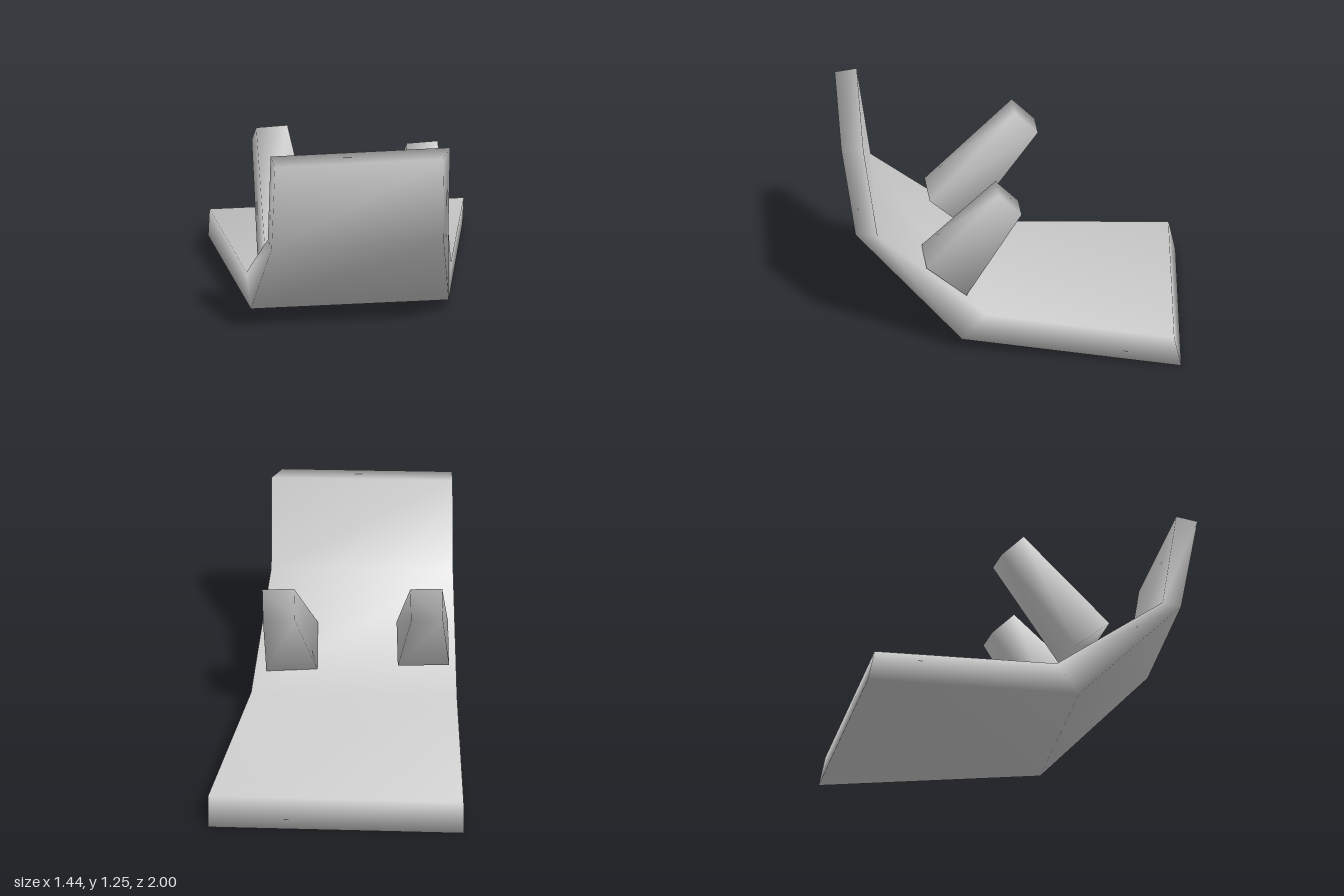
import * as THREE from 'three';

// Skin a solid through four-cornered cross-sections, with shared (smooth) vertices.
function loft(sections) {
  const index = [];
  const last = (sections.length - 1) * 4;
  for (let s = 0; s < last; s += 4) {
    for (let k = 0; k < 4; k++) {
      const a = s + k, b = s + (k + 1) % 4;
      index.push(a, a + 4, b, b, a + 4, b + 4);
    }
  }
  index.push(0, 1, 2, 0, 2, 3);
  index.push(last, last + 2, last + 1, last, last + 3, last + 2);
  const geometry = new THREE.BufferGeometry();
  geometry.setAttribute('position', new THREE.Float32BufferAttribute(sections.flat(2), 3));
  geometry.setIndex(index);
  geometry.computeVertexNormals();
  return geometry;
}

export function createModel() {
  const group = new THREE.Group();
  const grey = new THREE.MeshStandardMaterial({ color: 0xcccccc });
  grey.name = 'lightGrey';

  const add = (name, sections) => {
    const mesh = new THREE.Mesh(loft(sections), grey);
    mesh.name = name;
    group.add(mesh);
  };

  // Bent slab, from the flat back edge to the upturned front edge.
  // Each row: inner y, inner z at right and left, inner left x, then the same for the outer skin.
  const right = -0.72;
  const slab = [
    [0.18, -0.96, -0.84, 0.72, 0, -1, -0.88, 0.72],
    [0.24, 0.11, 0.2, 0.44, 0.07, 0.24, 0.33, 0.4],
    [0.7, 0.73, 0.8, 0.305, 0.69, 0.84, 0.92, 0.255],
    [1.245, 0.81, 0.88, 0.3, 1.23, 0.935, 1, 0.235],
  ];
  add('bentSlab', slab.map(([iy, izR, izL, ix, oy, ozR, ozL, ox]) => [
    [right, iy, izR], [ix, iy, izL], [ox, oy, ozL], [right, oy, ozR],
  ]));

  // Tapered pegs leaning back; each end is given by its back and front edges [x0, x1, y, z].
  const end = ([a0, a1, ay, az], [b0, b1, by, bz]) =>
    [[a0, ay, az], [a1, ay, az], [b1, by, bz], [b0, by, bz]];
  add('rightPeg', [
    end([-0.68, -0.39, 0.38, 0.23], [-0.68, -0.39, 0.55, 0.43]),
    end([-0.63, -0.45, 0.92, -0.19], [-0.63, -0.45, 1.05, -0.06]),
  ]);
  add('leftPeg', [
    end([0.06, 0.35, 0.32, 0.3], [0.05, 0.34, 0.5, 0.525]),
    end([0.2, 0.38, 0.83, -0.01], [0.2, 0.38, 0.96, 0.12]),
  ]);

  return group;
}
